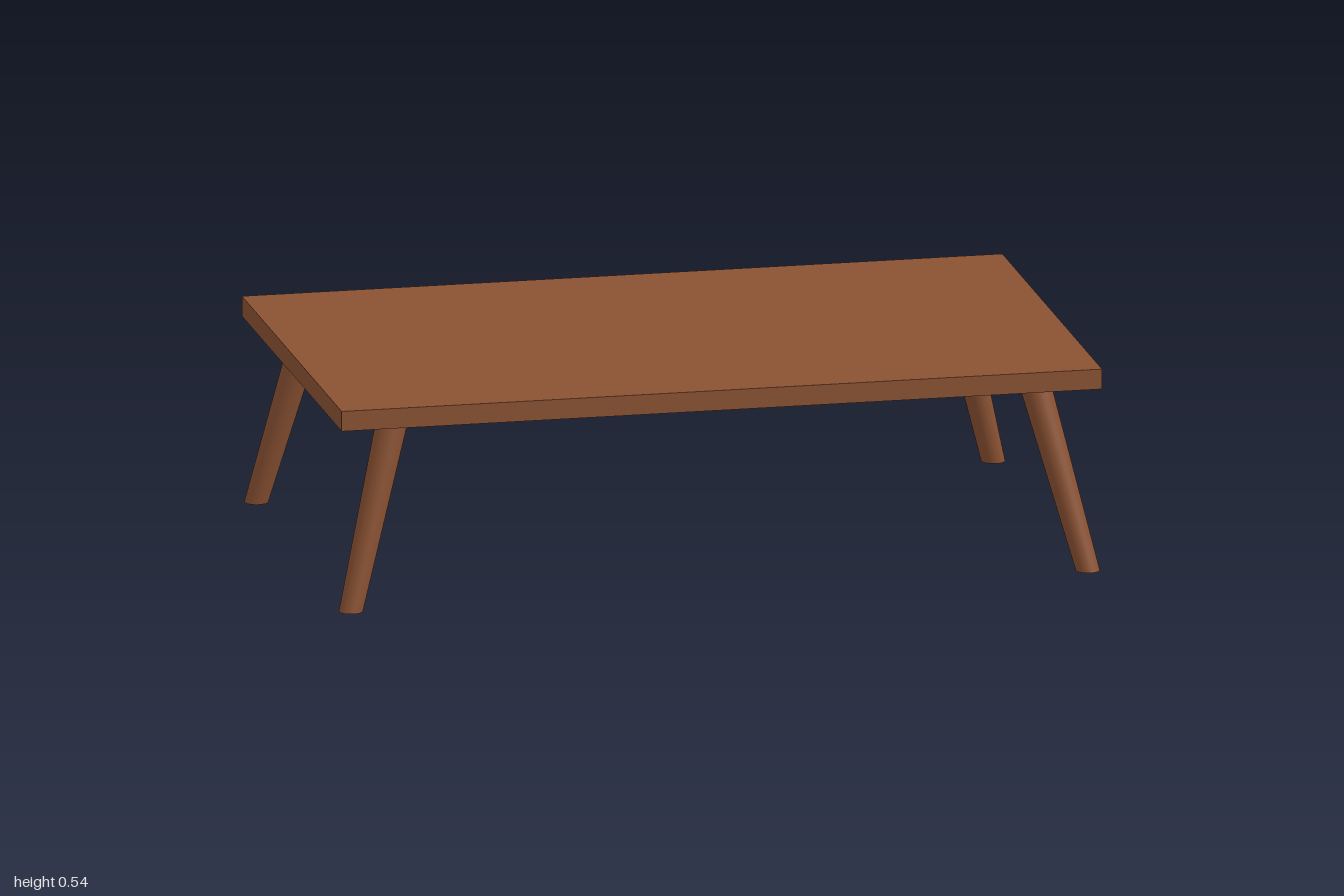
import * as THREE from 'three';

const TOP_Y = 0.54, THICK = 0.053, LEG_TOP = 0.49;

// Tapered leg with level ends, its axis slanted from foot to head
function legGeometry(foot, head) {
  const g = new THREE.CylinderGeometry(0.042, 0.031, LEG_TOP, 32);
  g.translate(0, LEG_TOP / 2, 0);
  const shear = new THREE.Matrix4().set(
    1, (head[0] - foot[0]) / LEG_TOP, 0, foot[0],
    0, 1, 0, 0,
    0, (head[1] - foot[1]) / LEG_TOP, 1, foot[1],
    0, 0, 0, 1
  );
  return g.applyMatrix4(shear);
}

export function createModel() {
  const group = new THREE.Group();
  group.name = 'coffeeTable';
  const wood = new THREE.MeshStandardMaterial({ color: 0x8b5233 });
  wood.name = 'brown wood';

  // Flat slab
  const top = new THREE.Mesh(new THREE.BoxGeometry(2, THICK, 1.195), wood);
  top.name = 'tableTop';
  top.position.y = TOP_Y - THICK / 2;
  group.add(top);

  // Four splayed legs; the heads sit slightly offset along z on each side
  for (const sx of [-1, 1]) {
    for (const sz of [-1, 1]) {
      const foot = [sx * 0.969, sz * 0.567];
      const head = [sx * 0.845, sz * 0.495 - sx * 0.007];
      const leg = new THREE.Mesh(legGeometry(foot, head), wood);
      leg.name = (sz > 0 ? 'front' : 'back') + (sx > 0 ? 'Left' : 'Right') + 'Leg';
      group.add(leg);
    }
  }
  return group;
}
